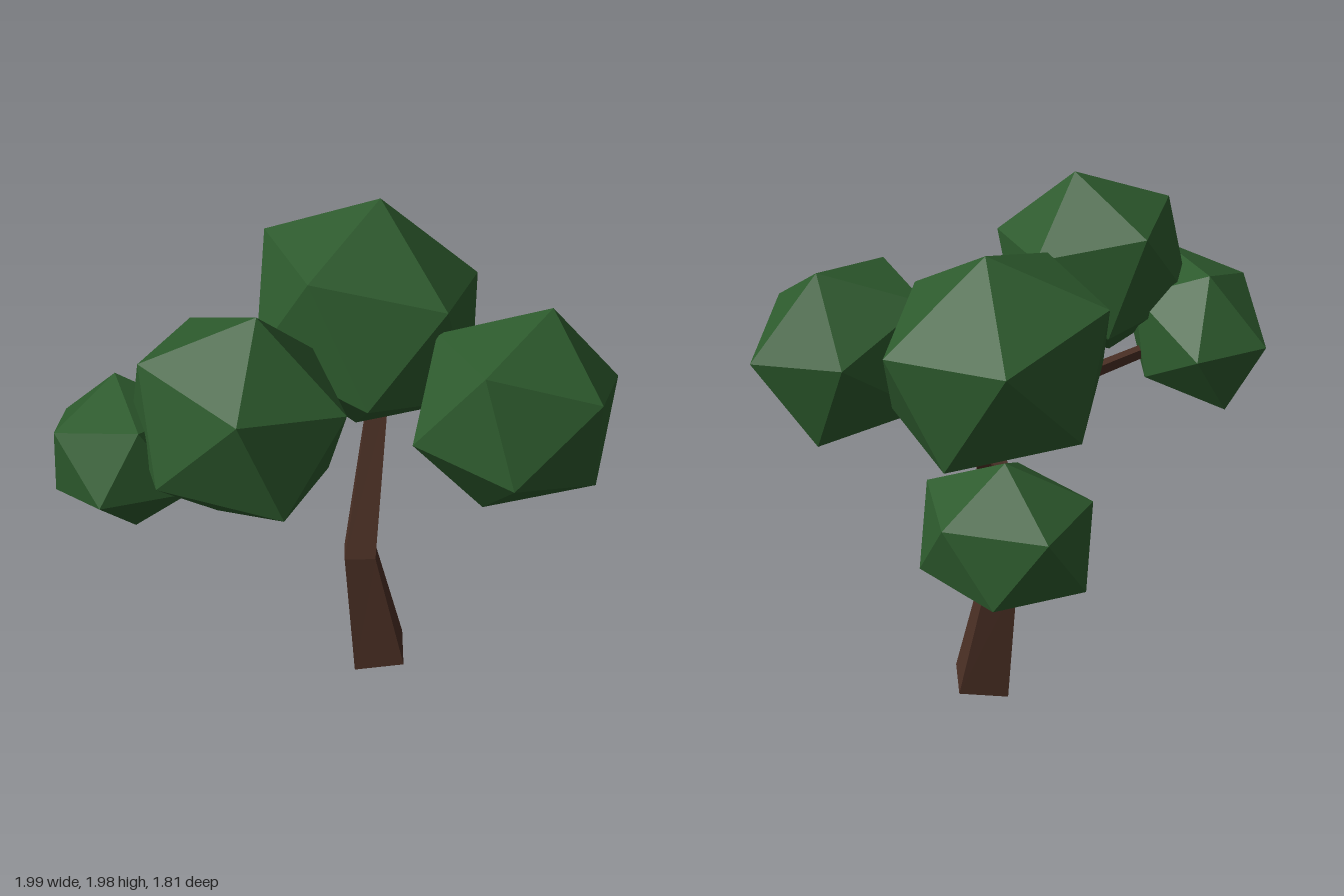
import * as THREE from 'three';

const leafGreen = new THREE.MeshStandardMaterial({ color: 0x2d5a2d, flatShading: true });
const barkBrown = new THREE.MeshStandardMaterial({ color: 0x4a2f24, flatShading: true });
leafGreen.name = 'leafGreen';
barkBrown.name = 'barkBrown';

const vec = (p) => new THREE.Vector3(...p);

// Leaf clump: an icosahedron turned and stretched so its first face lands on three given corners
function foliage(name, center, corners) {
  const geometry = new THREE.IcosahedronGeometry(1, 0);
  const c = vec(center);
  const source = [0, 1, 2].map((i) => new THREE.Vector3().fromBufferAttribute(geometry.attributes.position, i));
  const target = corners.map((p) => vec(p).sub(c));
  const from = new THREE.Matrix4().makeBasis(...source).invert();
  const to = new THREE.Matrix4().makeBasis(...target);
  geometry.applyMatrix4(to.multiply(from)).translate(c.x, c.y, c.z);
  geometry.computeVertexNormals();
  const mesh = new THREE.Mesh(geometry, leafGreen);
  mesh.name = name;
  return mesh;
}

// Four-sided tapering limb swept along points; each point is [x, y, z, halfWidth]
function limb(name, points, side) {
  const path = points.map((p) => vec(p.slice(0, 3)));
  const last = path.length - 1;
  const positions = [];
  const index = [];
  path.forEach((p, i) => {
    const tangent = new THREE.Vector3();
    if (i > 0) tangent.add(p.clone().sub(path[i - 1]).normalize());
    if (i < last) tangent.add(path[i + 1].clone().sub(p).normalize());
    tangent.normalize();
    const u = vec(side).projectOnPlane(tangent).normalize();
    const v = tangent.clone().cross(u);
    const h = points[i][3];
    for (const [a, b] of [[1, 1], [-1, 1], [-1, -1], [1, -1]]) {
      positions.push(...p.clone().addScaledVector(u, a * h).addScaledVector(v, b * h).toArray());
    }
    if (i === last) return;
    for (let j = 0; j < 4; j++) {
      const a = i * 4 + j, b = i * 4 + (j + 1) % 4;
      index.push(a, b, b + 4, a, b + 4, a + 4);
    }
  });
  const e = last * 4;
  index.push(0, 2, 1, 0, 3, 2, e, e + 1, e + 2, e, e + 2, e + 3);
  const indexed = new THREE.BufferGeometry();
  indexed.setAttribute('position', new THREE.Float32BufferAttribute(positions, 3));
  indexed.setIndex(index);
  const geometry = indexed.toNonIndexed();
  geometry.computeVertexNormals();
  const mesh = new THREE.Mesh(geometry, barkBrown);
  mesh.name = name;
  return mesh;
}

export function createModel() {
  const tree = new THREE.Group();
  tree.name = 'tree';

  // Bent trunk and its side branches
  tree.add(
    limb('trunk', [[0.17, 0.022, 0.052, 0.1], [0.088, 0.555, 0.048, 0.06], [0.168, 1.2, -0.145, 0.036], [0.18, 1.34, -0.185, 0.032]], [1, 0, 0.06]),
    limb('frontBranch', [[0.17, 1.33, -0.16, 0.025], [-0.03, 1.305, 0.04, 0.023], [-0.24, 1.285, 0.24, 0.021], [-0.62, 1.3, 0.45, 0.018]], [0, 1, 0]),
    limb('backBranch', [[0.17, 1.33, -0.19, 0.026], [0.05, 0.98, -0.43, 0.024], [0.16, 1.14, -0.62, 0.018]], [1, 0, 0]),
  );

  // Leaf clumps
  tree.add(
    foliage('crownFoliage', [0.118, 1.555, -0.105], [[0.163, 1.99, -0.175], [0.53, 1.65, -0.22], [0.147, 1.693, -0.53]]),
    foliage('leftFoliage', [0.612, 1.42, 0.334], [[0.725, 1.783, 0.25], [0.99, 1.46, 0.2], [0.665, 1.51, -0.016]]),
    foliage('frontFoliage', [-0.365, 1.607, 0.585], [[-0.288, 1.99, 0.58], [-0.361, 1.791, 0.9], [-0.01, 1.711, 0.742]]),
    foliage('rightFoliage', [-0.75, 1.38, 0.436], [[-0.82, 1.385, 0.765], [-0.97, 1.54, 0.545], [-1.0, 1.23, 0.45]]),
    foliage('backFoliage', [0.168, 1.158, -0.634], [[0.168, 1.44, -0.632], [0.4, 1.276, -0.765], [0.067, 1.276, -0.908]]),
  );
  return tree;
}
